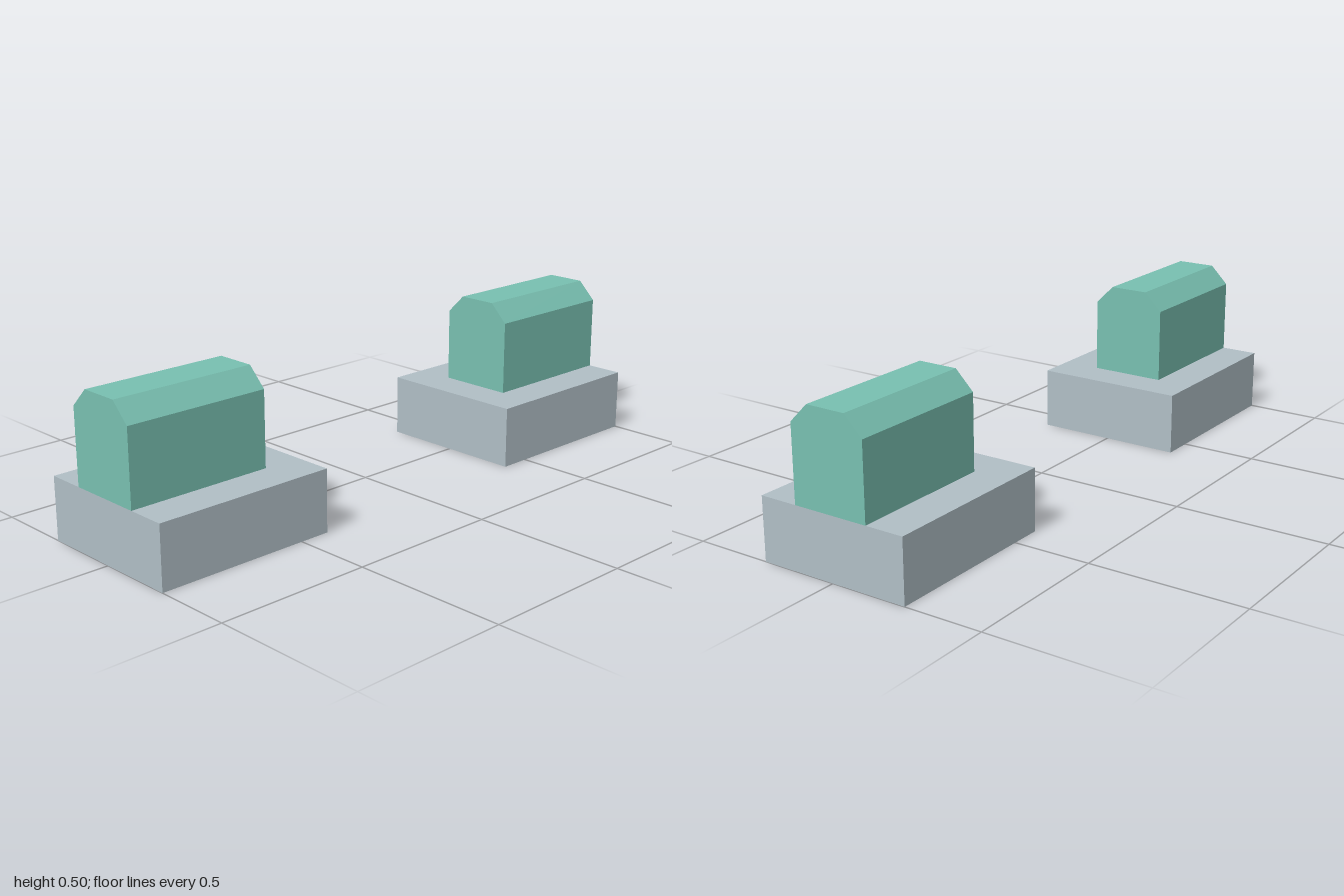
import * as THREE from 'three';

export function createModel() {
  const model = new THREE.Group();
  const grey = new THREE.MeshStandardMaterial({ color: 0xb0bec5 });
  grey.name = 'blueGrey';
  const green = new THREE.MeshStandardMaterial({ color: 0x78bfb0 });
  green.name = 'softGreen';

  // Rail cross-section: upright block with chamfered top edges
  const profile = new THREE.Shape([
    [-0.125, 0.2], [0.125, 0.2], [0.125, 0.44],
    [0.065, 0.5], [-0.065, 0.5], [-0.125, 0.44],
  ].map(([x, y]) => new THREE.Vector2(x, y)));
  const railLength = 0.475;
  const railGeometry = new THREE.ExtrudeGeometry(profile, { depth: railLength, bevelEnabled: false });
  const baseGeometry = new THREE.BoxGeometry(0.5, 0.2, 0.6);

  // Two matching blocks, each rail flush with the outer end of its base
  for (const [name, side] of [['front', 1], ['back', -1]]) {
    const block = new THREE.Group();
    block.name = name + 'Block';

    const base = new THREE.Mesh(baseGeometry, grey);
    base.name = name + 'Base';
    base.position.set(0, 0.1, side * 0.7);

    const rail = new THREE.Mesh(railGeometry, green);
    rail.name = name + 'Rail';
    rail.position.z = side > 0 ? 1 - railLength : -1;

    block.add(base, rail);
    model.add(block);
  }
  return model;
}
